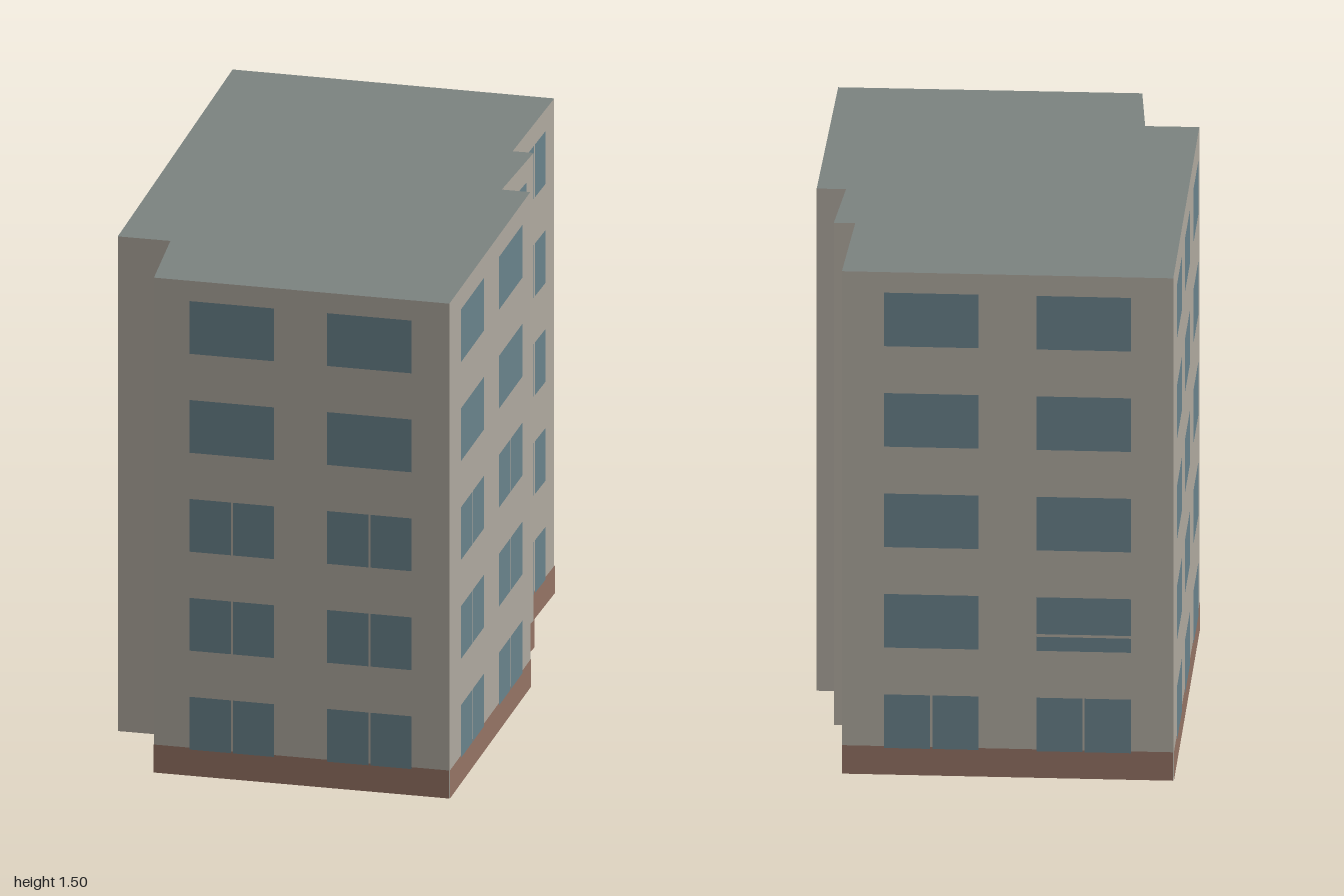
import * as THREE from 'three';

const HEIGHT = 1.5, BASE_TOP = 0.085, FLOOR = 0.3, FLOORS = 5;
const WIN_BOTTOM = 0.08, WIN_HEIGHT = 0.16, GAP = 0.006;

const mat = (color, side = THREE.FrontSide) => new THREE.MeshStandardMaterial({ color, side });

export function createModel() {
  const model = new THREE.Group();
  model.name = 'apartmentBlock';
  const wallMat = mat(0xb0aaa0, THREE.DoubleSide);
  const roofMat = mat(0x7c8481, THREE.DoubleSide);
  const baseMat = mat(0x957465);
  const glassMat = mat(0x6a838c);

  // Footprint corners [x, z]; each carries the facade that starts there:
  // windows = centres along the wall (0..1), width = window width,
  // split(floor, column) = whether the window has two panes
  const facades = [
    { at: [0.04, -1.0], name: 'backFacade', windows: [0.27, 0.73], width: 0.27, split: (f) => f === 0 },
    { at: [0.8, -0.44], name: 'leftRearFacade', windows: [0.507], width: 0.24, split: () => true },
    { at: [0.53, -0.085], name: 'rearReturn' },
    { at: [0.58, -0.05], name: 'stairFacade', windows: [0.53], width: 0.16, split: () => true },
    { at: [0.385, 0.193], name: 'stairReturn' },
    { at: [0.452, 0.243], name: 'leftFrontFacade', windows: [0.26, 0.595 + 0.135], width: 0.27, split: (f) => f < 3 },
    { at: [-0.1, 1.0], name: 'frontFacade', windows: [0.27, 0.735], width: 0.247, split: (f) => f < 3 },
    { at: [-0.8, 0.49], name: 'rightNotchFacade', windows: [0.5], width: 0.15, split: () => true },
    { at: [-0.645, 0.23], name: 'notchReturn' },
    { at: [-0.77, 0.14], name: 'rightFacade', windows: [0.185, 0.5, 0.815], width: 0.27, split: (f, c) => f === 0 && c === 0 },
  ];

  facades.forEach((facade, i) => {
    const [x0, z0] = facade.at;
    const [x1, z1] = facades[(i + 1) % facades.length].at;
    const length = Math.hypot(x1 - x0, z1 - z0);

    // Group whose local +z is the outward side and +x runs along the wall
    const group = new THREE.Group();
    group.name = facade.name;
    group.position.set((x0 + x1) / 2, 0, (z0 + z1) / 2);
    group.rotation.y = Math.atan2(z1 - z0, x0 - x1);
    model.add(group);

    const panel = (name, cx, width, y0, y1, offset, material) => {
      const mesh = new THREE.Mesh(new THREE.PlaneGeometry(width, y1 - y0), material);
      mesh.name = name;
      mesh.position.set(cx, (y0 + y1) / 2, offset);
      group.add(mesh);
    };

    panel('wall', 0, length, 0, HEIGHT, 0, wallMat);
    if (!facade.windows) return;
    panel('plinth', 0, length, 0, BASE_TOP, 0.002, baseMat);

    for (let f = 0; f < FLOORS; f++) {
      facade.windows.forEach((t, c) => {
        const cx = (0.5 - t) * length;
        const w = facade.width;
        let y0 = WIN_BOTTOM + f * FLOOR;
        const y1 = y0 + WIN_HEIGHT;
        // One rear window has a separate low pane under a thin rail
        if (facade.name === 'backFacade' && f === 1 && c === 0) {
          panel('lowPane', cx, w, y0, y0 + 0.042, 0.004, glassMat);
          y0 += 0.05;
        }
        if (facade.split(f, c)) {
          const pane = (w - GAP) / 2;
          for (const s of [-1, 1]) panel('windowPane', cx + s * (pane + GAP) / 2, pane, y0, y1, 0.004, glassMat);
        } else {
          panel('window', cx, w, y0, y1, 0.004, glassMat);
        }
      });
    }
  });

  // Flat roof following the footprint
  const outline = new THREE.Shape(facades.map(({ at: [x, z] }) => new THREE.Vector2(x, -z)));
  const roof = new THREE.Mesh(new THREE.ShapeGeometry(outline).rotateX(-Math.PI / 2), roofMat);
  roof.name = 'roof';
  roof.position.y = HEIGHT;
  model.add(roof);

  return model;
}
